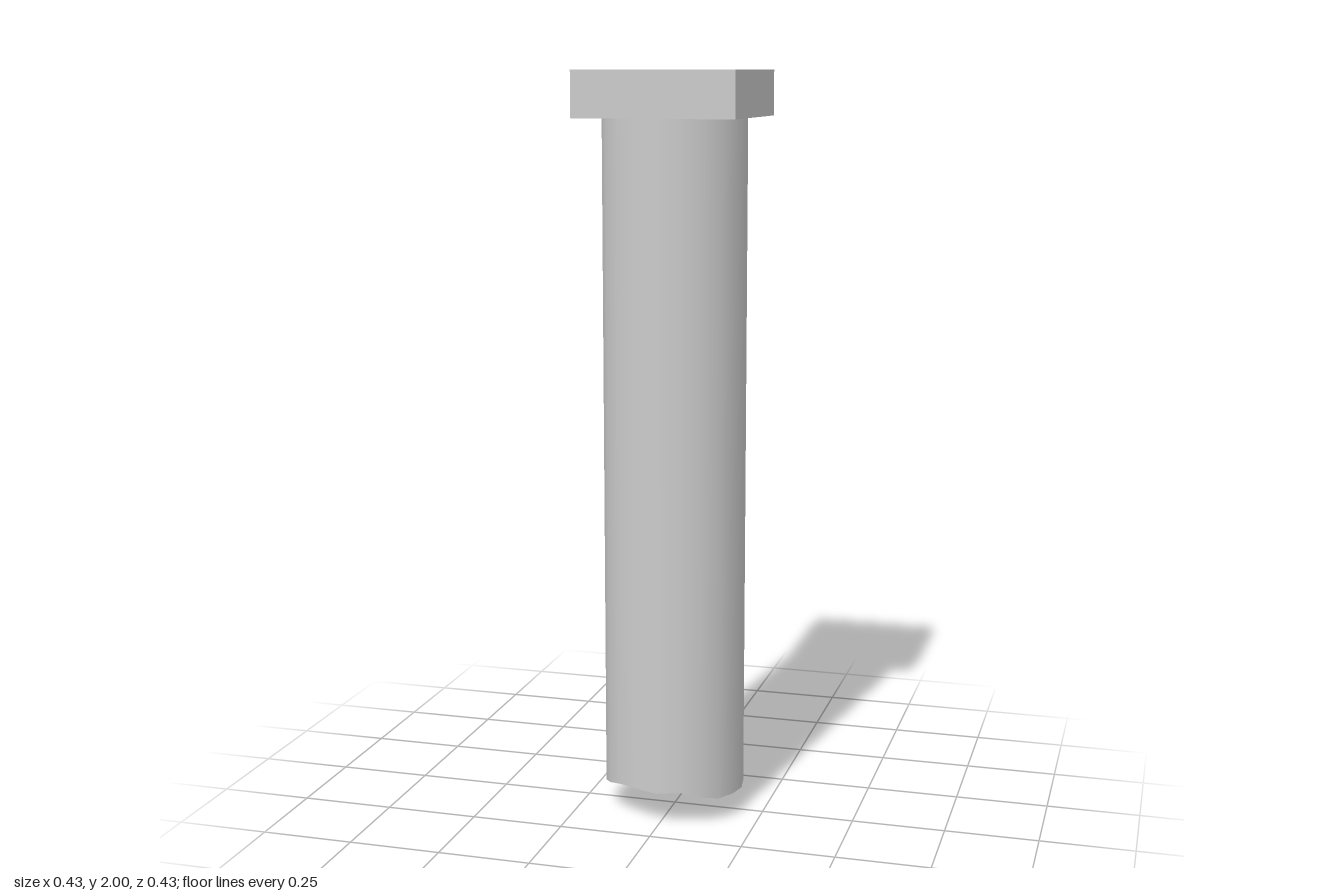
import * as THREE from 'three';

export function createModel() {
  const group = new THREE.Group();
  const smooth = new THREE.MeshStandardMaterial({ color: 0xcccccc });
  const faceted = new THREE.MeshStandardMaterial({ color: 0xcccccc, flatShading: true });

  // Square slab on top of the column
  const capital = new THREE.Mesh(new THREE.BoxGeometry(0.427, 0.12, 0.427), faceted);
  capital.name = 'capital';
  capital.position.y = 1.94;
  group.add(capital);

  // Height of the broken lower rim, counted from the front towards the left
  const rim = [
    0.097, 0.103, 0.085, 0.07, 0.068, 0.064, 0.062, 0.03, 0.017, 0,
    0.012, 0.018, 0.04, 0.045, 0.045, 0.06, 0.07, 0.085, 0.1, 0.103,
  ];
  const sides = rim.length;
  const height = 1.88;
  const geometry = new THREE.CylinderGeometry(0.19, 0.19, height, sides);
  geometry.translate(0, height / 2, 0);

  // Move the lower vertices onto the broken rim
  const pos = geometry.attributes.position;
  for (let i = 0; i < pos.count; i++) {
    if (pos.getY(i) > 0.01) continue;
    const x = pos.getX(i), z = pos.getZ(i);
    const k = Math.round((Math.atan2(x, z) / (2 * Math.PI)) * sides + sides) % sides;
    pos.setY(i, Math.hypot(x, z) < 0.01 ? 0.053 : rim[k]);
  }

  // Smooth shaft with a faceted broken underside
  const shaft = new THREE.Mesh(geometry, [smooth, faceted, faceted]);
  shaft.name = 'brokenShaft';
  group.add(shaft);

  return group;
}
